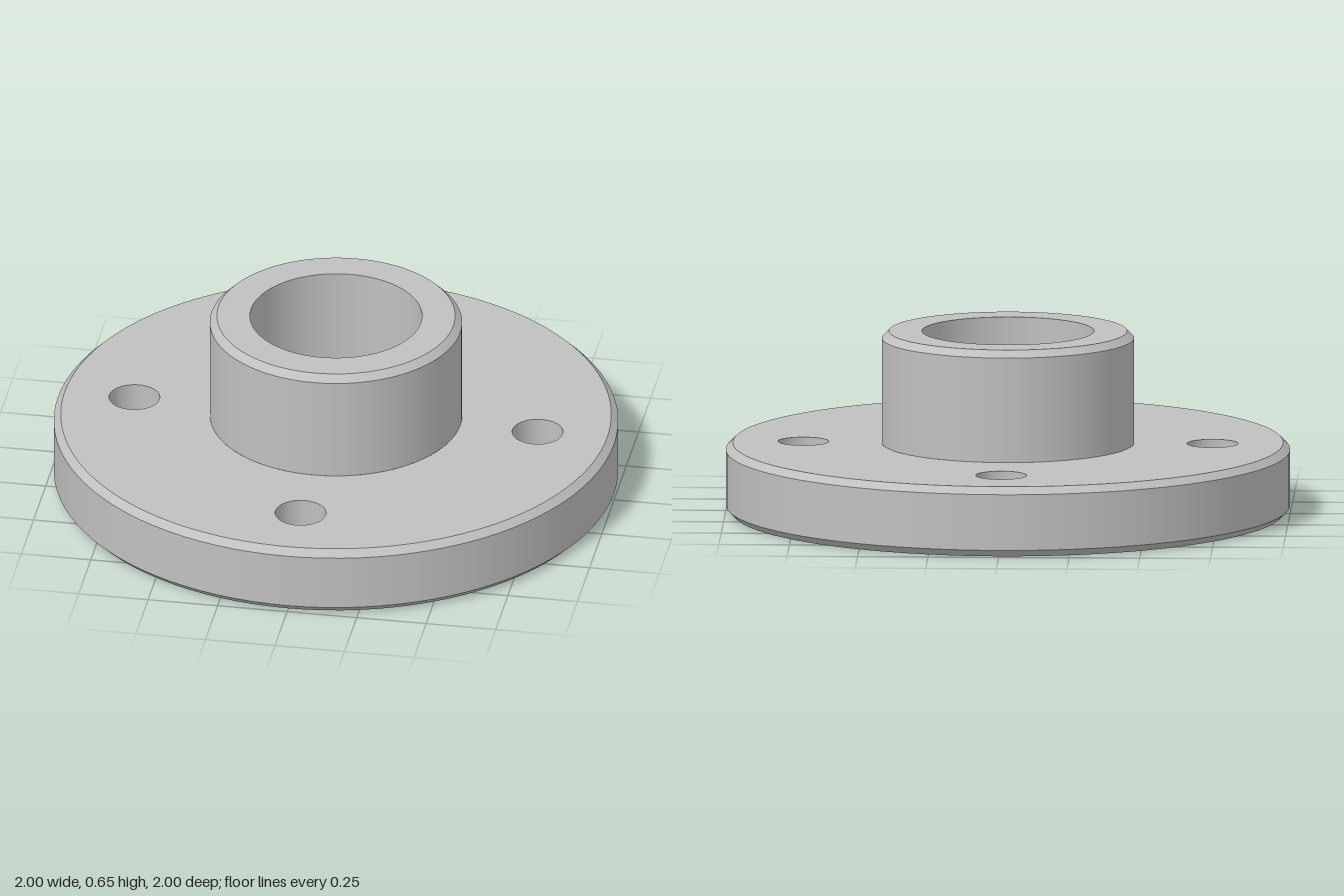
import * as THREE from 'three';
import { mergeGeometries } from 'three/addons/utils/BufferGeometryUtils.js';

const SEG = 96;
const FLANGE_R = 1, FLANGE_TOP = 0.25, HUB_R = 0.447, HUB_TOP = 0.65, BORE_R = 0.305;
const CHAMFER = 0.025;
const BOLT_CIRCLE = 0.725, BOLT_R = 0.09, SINK_R = 0.125, SINK_DEPTH = 0.035;

// Turned profile [radius, y]; each straight run is its own surface, so edges stay sharp
function turned(profile, segments = SEG) {
  const runs = [];
  for (let i = 0; i + 1 < profile.length; i++) {
    const pair = [profile[i], profile[i + 1]].map(([r, y]) => new THREE.Vector2(r, y));
    runs.push(new THREE.LatheGeometry(pair, segments));
  }
  return mergeGeometries(runs);
}

const boltCentres = [0, 1, 2, 3].map((i) => {
  const a = (i * Math.PI) / 2;
  return [BOLT_CIRCLE * Math.cos(a), BOLT_CIRCLE * Math.sin(a)];
});

// Flat flange face with a centre opening and four bolt openings
function face(centreR, boltR, y, up) {
  const shape = new THREE.Shape().absarc(0, 0, FLANGE_R - CHAMFER, 0, Math.PI * 2);
  const addHole = (x, z, r) => shape.holes.push(new THREE.Path().absarc(x, z, r, 0, Math.PI * 2, true));
  addHole(0, 0, centreR);
  boltCentres.forEach(([x, z]) => addHole(x, z, boltR));
  return new THREE.ShapeGeometry(shape, SEG)
    .rotateX(up ? -Math.PI / 2 : Math.PI / 2)
    .translate(0, y, 0);
}

export function createModel() {
  const model = new THREE.Group();
  model.name = 'hubFlange';
  const steel = new THREE.MeshStandardMaterial({ color: 0xc0c0c0 });
  steel.name = 'steel grey';
  const add = (name, geometry) => {
    const mesh = new THREE.Mesh(geometry, steel);
    mesh.name = name;
    model.add(mesh);
    return mesh;
  };

  // Flange disc: chamfered rim and its two faces
  add('flangeRim', turned([
    [FLANGE_R - CHAMFER, 0], [FLANGE_R, CHAMFER],
    [FLANGE_R, FLANGE_TOP - CHAMFER], [FLANGE_R - CHAMFER, FLANGE_TOP],
  ]));
  add('flangeTop', face(HUB_R, BOLT_R, FLANGE_TOP, true));
  add('flangeUnderside', face(BORE_R, SINK_R, 0, false));

  // Hub: wall, chamfer and end ring, then the bore running down through everything
  add('hub', turned([
    [HUB_R, FLANGE_TOP], [HUB_R, HUB_TOP - CHAMFER],
    [HUB_R - CHAMFER, HUB_TOP], [BORE_R, HUB_TOP],
  ]));
  add('bore', turned([[BORE_R, HUB_TOP], [BORE_R, 0]]));

  // Bolt holes, countersunk from below
  const boltHole = turned([[BOLT_R, FLANGE_TOP], [BOLT_R, SINK_DEPTH], [SINK_R, 0]]);
  boltCentres.forEach(([x, z], i) => add(`boltHole${i + 1}`, boltHole).position.set(x, 0, z));

  return model;
}
